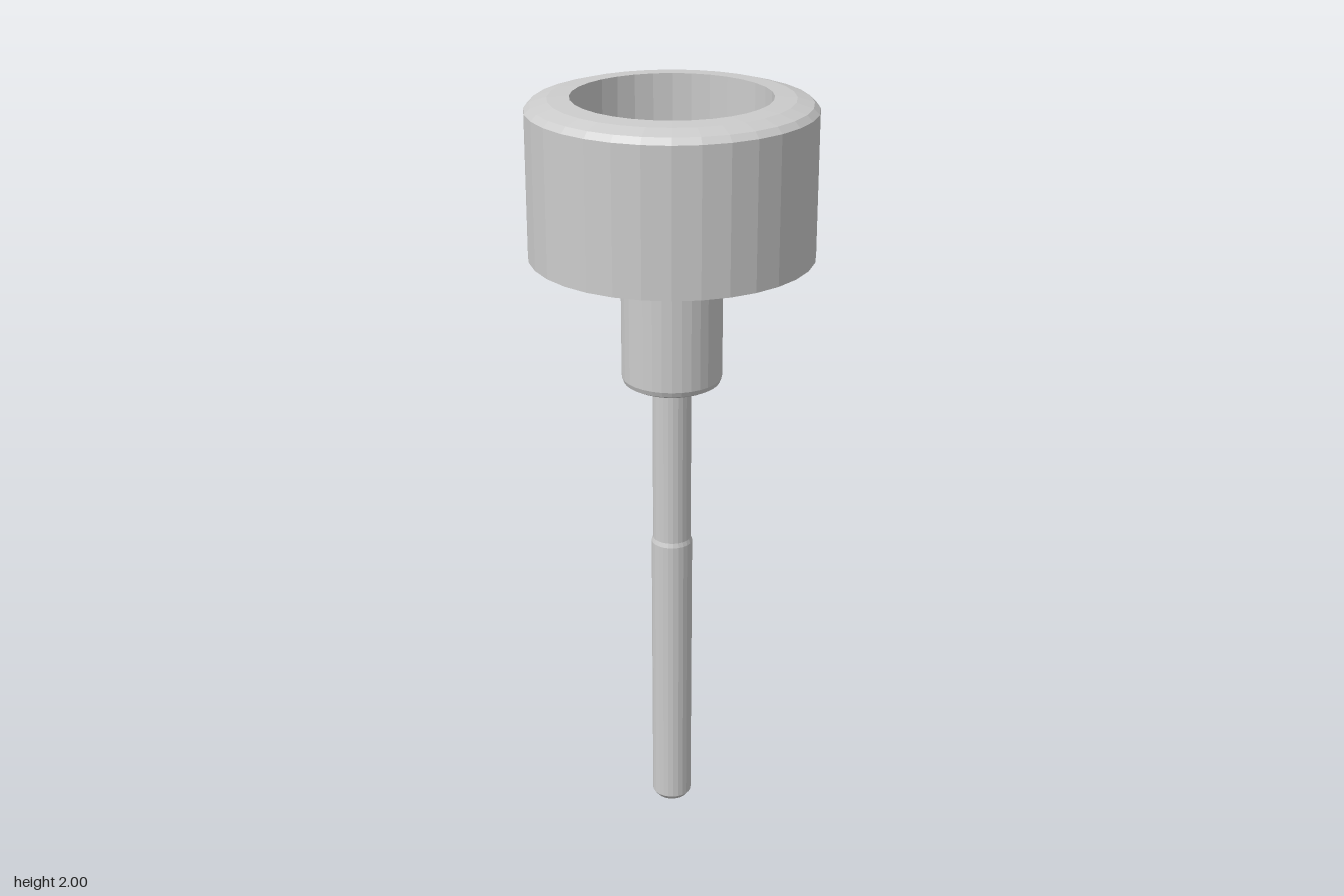
import * as THREE from 'three';

const material = new THREE.MeshStandardMaterial({ color: 0xcccccc, flatShading: true });

// Turned part from [radius, height] pairs, listed bottom to top on the outside
function turned(name, profile, segments = 32) {
  const points = profile.map(([r, y]) => new THREE.Vector2(r, y));
  const mesh = new THREE.Mesh(new THREE.LatheGeometry(points, segments), material);
  mesh.name = name;
  return mesh;
}

export function createModel() {
  const model = new THREE.Group();
  model.name = 'plungerKnob';

  // Round head, recessed above and below with a solid web between
  model.add(turned('head', [
    [0, 1.69], [0.268, 1.69], [0.268, 1.6], [0.362, 1.6],
    [0.362, 1.97], [0.347, 1.985], [0.305, 1.997], [0.25, 2.0],
    [0.25, 1.78], [0, 1.78],
  ]));

  // Collar under the head, with a chamfered lower edge
  model.add(turned('collar', [
    [0, 1.255], [0.112, 1.255], [0.125, 1.262], [0.13, 1.275], [0.13, 1.7], [0, 1.7],
  ]));

  // Slim pin, slightly thicker in its lower part
  model.add(turned('pin', [
    [0, 0], [0.043, 0], [0.054, 0.014], [0.055, 0.8], [0.051, 0.812], [0.051, 1.27], [0, 1.27],
  ], 24));

  return model;
}
